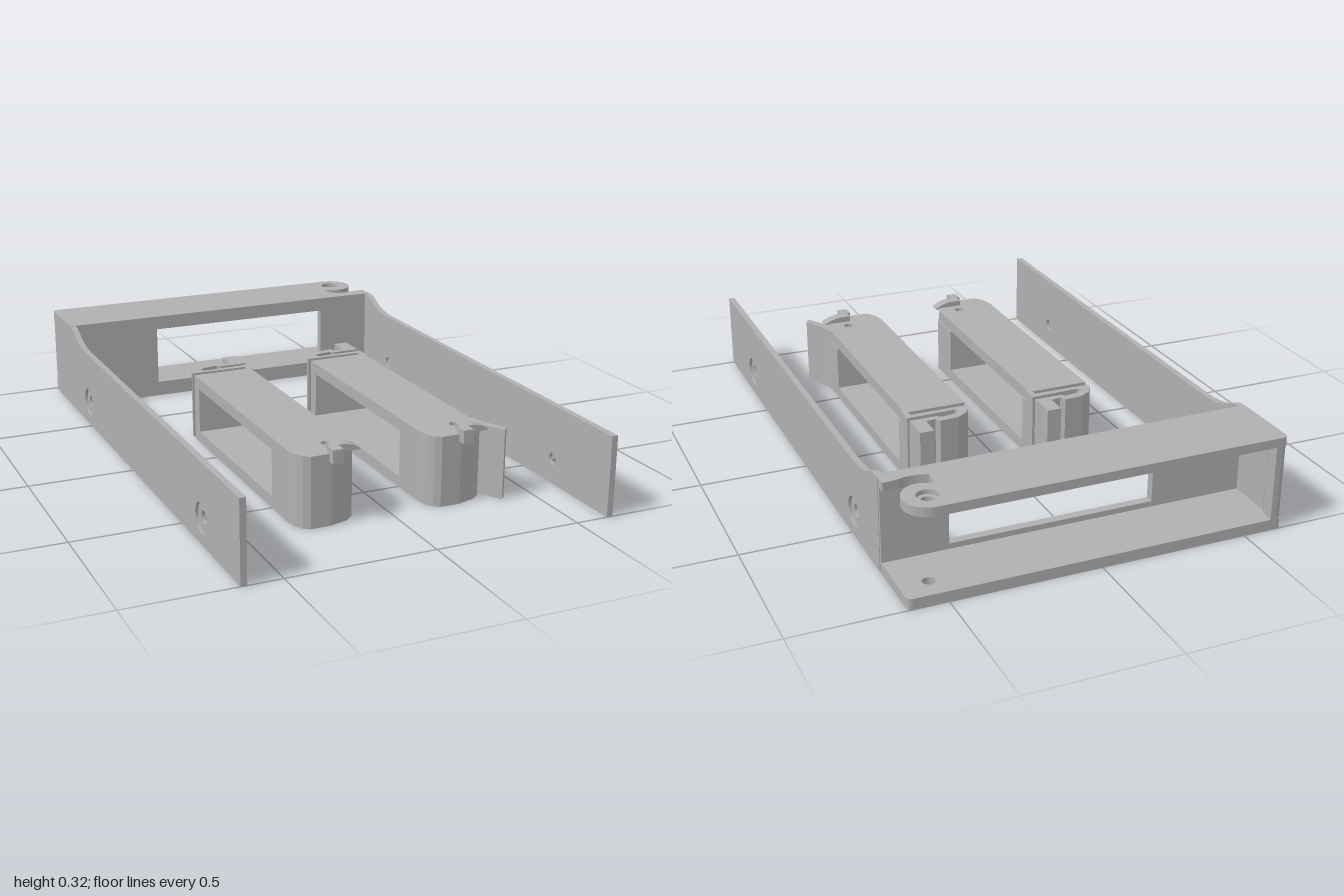
import * as THREE from 'three';

const grey = new THREE.MeshStandardMaterial({ color: 0xb0b0b0 });
grey.name = 'plain grey';

function part(parent, name, geometry) {
  const mesh = new THREE.Mesh(geometry, grey);
  mesh.name = name;
  parent.add(mesh);
  return mesh;
}

function toShape(points) {
  return points instanceof THREE.Shape ? points : new THREE.Shape(points.map(([a, b]) => new THREE.Vector2(a, b)));
}

function addHoles(shape, holes) {
  for (const [a, b, r] of holes) {
    shape.holes.push(new THREE.Path().absarc(a, b, r, 0, Math.PI * 2, true));
  }
  return shape;
}

function extrude(shape, depth) {
  return new THREE.ExtrudeGeometry(shape, { depth, bevelEnabled: false, curveSegments: 20 });
}

// Outline in x,z, raised from y0 to y1
function slab(points, y0, y1, holes = []) {
  return extrude(addHoles(toShape(points), holes), y1 - y0).rotateX(Math.PI / 2).translate(0, y1, 0);
}

// Outline in z,y, spanning x0 to x1
function sidePlate(points, x0, x1, holes = []) {
  return extrude(addHoles(toShape(points), holes), x1 - x0).rotateY(-Math.PI / 2).translate(x1, 0, 0);
}

function box(x0, x1, y0, y1, z0, z1) {
  return new THREE.BoxGeometry(x1 - x0, y1 - y0, z1 - z0)
    .translate((x0 + x1) / 2, (y0 + y1) / 2, (z0 + z1) / 2);
}

// Top plate ending in a round ear beside a notch
function topOutline() {
  const s = new THREE.Shape();
  s.moveTo(-0.635, -0.745);
  s.lineTo(-0.635, -0.98);
  s.quadraticCurveTo(-0.635, -1, -0.615, -1);
  s.lineTo(0.535, -1);
  s.absarc(0.535, -0.922, 0.078, -Math.PI / 2, Math.PI * 0.44, false);
  s.quadraticCurveTo(0.52, -0.845, 0.5, -0.86);
  s.lineTo(0.485, -0.85);
  s.lineTo(0.485, -0.805);
  s.quadraticCurveTo(0.53, -0.785, 0.58, -0.8);
  s.lineTo(0.63, -0.805);
  s.lineTo(0.63, -0.745);
  return s;
}

function bottomOutline() {
  const s = new THREE.Shape();
  s.moveTo(-0.635, -0.745);
  s.lineTo(-0.635, -0.98);
  s.quadraticCurveTo(-0.635, -1, -0.615, -1);
  s.lineTo(0.61, -1);
  s.quadraticCurveTo(0.63, -1, 0.63, -0.98);
  s.lineTo(0.63, -0.745);
  return s;
}

// Long side wall, sweeping up towards the rear
function wallOutline() {
  const s = new THREE.Shape();
  s.moveTo(1, 0);
  s.lineTo(1, 0.272);
  s.lineTo(-0.53, 0.272);
  s.quadraticCurveTo(-0.62, 0.275, -0.665, 0.295);
  s.quadraticCurveTo(-0.71, 0.32, -0.735, 0.32);
  s.lineTo(-0.765, 0.32);
  s.lineTo(-0.765, 0);
  return s;
}

function buildFrame() {
  const frame = new THREE.Group();
  frame.name = 'frame';
  const pivot = (r) => [[0.535, -0.925, r]];
  part(frame, 'topPlateUpper', slab(topOutline(), 0.306, 0.321, pivot(0.035)));
  part(frame, 'topPlateLower', slab(topOutline(), 0.29, 0.306, pivot(0.021)));
  part(frame, 'bottomPlateUpper', slab(bottomOutline(), 0.018, 0.036, pivot(0.021)));
  part(frame, 'bottomPlateLower', slab(bottomOutline(), 0, 0.018, pivot(0.035)));

  // Wall with the window
  const wall = toShape([[-0.635, 0], [0.63, 0], [0.63, 0.321], [-0.635, 0.321]]);
  wall.holes.push(new THREE.Path([[-0.29, 0.055], [-0.29, 0.27], [0.41, 0.27], [0.41, 0.055]]
    .map(([x, y]) => new THREE.Vector2(x, y))));
  part(frame, 'windowWall', extrude(wall, 0.03).translate(0, 0, -0.775));

  // Closed end of the rear housing
  part(frame, 'housingEnd', slab([[-0.635, -0.76], [-0.635, -0.98], [-0.629, -0.994], [-0.615, -1],
    [-0.595, -1], [-0.6, -0.95], [-0.61, -0.93], [-0.61, -0.76]], 0.03, 0.295));

  // Side walls with countersunk screw holes
  const screws = (r) => [[0.68, 0.087, r], [-0.525, 0.087, r]];
  for (const [name, outer, dir] of [['right', 0.632, -1], ['left', -0.635, 1]]) {
    const span = (a, b) => [outer + dir * a, outer + dir * b].sort((p, q) => p - q);
    part(frame, name + 'WallOuter', sidePlate(wallOutline(), ...span(0, 0.01), screws(0.05)));
    part(frame, name + 'WallInner', sidePlate(wallOutline(), ...span(0.01, 0.021), screws(0.021)));
  }
  return frame;
}

function buildLever(name, x, z, hasFlap) {
  const lever = new THREE.Group();
  lever.name = name;
  lever.position.set(x, 0, z);

  // Body: two plates joined by end blocks around an open middle
  const body = (right) => [[-0.328, -0.215], [right, -0.215], [right, 0.63], [-0.125, 0.665], [-0.15, 0.688],
    [-0.18, 0.697], [-0.215, 0.708], [-0.285, 0.708], [-0.305, 0.695], [-0.32, 0.67], [-0.328, 0.63]];
  const hole = [[-0.19, 0.613, 0.017]];
  part(lever, 'bodyTop', slab(body(-0.112), 0.2, 0.24, hole));
  part(lever, 'bodyBottom', slab(body(-0.107), 0, 0.04, hole));
  const front = body(-0.107).slice(2);
  part(lever, 'frontBlock', slab([[-0.328, 0.5], [-0.107, 0.5], ...front], 0.04, 0.2, hole));
  part(lever, 'rearBlock', box(-0.328, -0.107, 0.04, 0.2, -0.215, -0.17));

  // Spring hook at the rear
  part(lever, 'springHook', slab([[-0.328, -0.237], [-0.322, -0.262], [-0.305, -0.29], [-0.265, -0.315],
    [-0.2, -0.32], [-0.19, -0.3], [-0.155, -0.305], [-0.155, -0.38], [-0.105, -0.38], [-0.105, -0.28],
    [-0.2, -0.28], [-0.215, -0.291], [-0.265, -0.284], [-0.285, -0.268], [-0.275, -0.255],
    [-0.105, -0.26], [-0.105, -0.2], [-0.125, -0.2], [-0.125, -0.237]], 0, 0.24));

  // Front latch: small tab and a ridge sloping off to one side
  part(lever, 'latchTab', box(-0.223, -0.186, 0.215, 0.26, 0.69, 0.735));
  part(lever, 'latchRidge', extrude(toShape([[-0.21, 0.235], [-0.11, 0.235], [-0.115, 0.243], [-0.135, 0.253],
    [-0.165, 0.26], [-0.21, 0.26]]), 0.04).translate(0, 0, 0.655));

  if (hasFlap) {
    part(lever, 'flap', slab([[-0.108, 0.575], [-0.098, 0.62], [-0.054, 0.715], [-0.07, 0.732],
      [-0.11, 0.66], [-0.125, 0.64]], 0, 0.24));
  }
  return lever;
}

export function createModel() {
  const model = new THREE.Group();
  model.name = 'bracketWithLevers';
  model.add(buildFrame());
  model.add(buildLever('plainLever', 0, 0, false));
  model.add(buildLever('flaredLever', 0.455, 0.005, true));
  return model;
}
